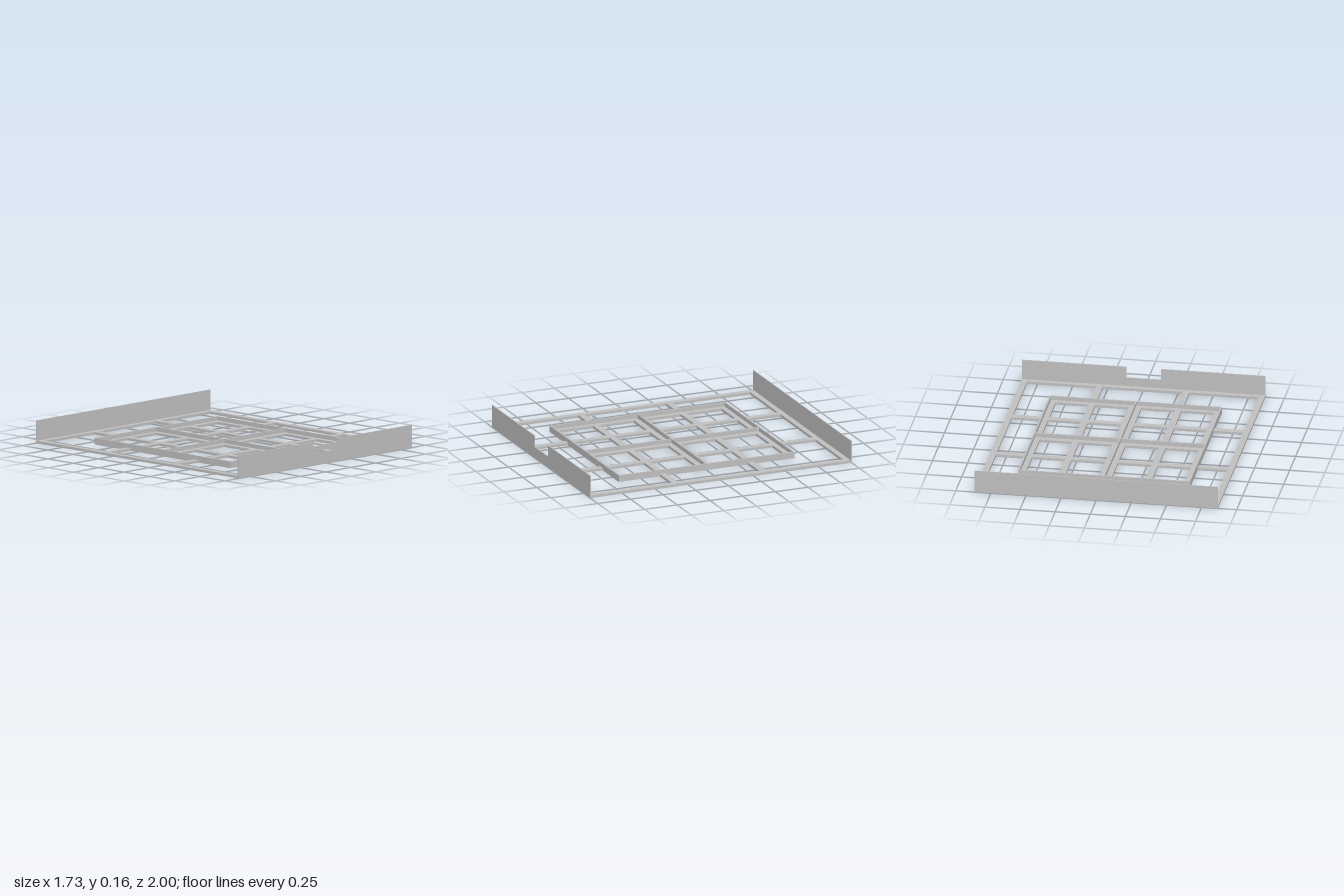
import * as THREE from 'three';

const HX = 0.867, HZ = 1;          // half size of the whole plate
const TX = 0.613, TZ = 0.672;      // half size of the raised tray block
const FLOOR = 0.018, RIM = 0.047, END = 0.163;
const RIM_T = 0.01, END_T = 0.007;

// closed outline from x,y pairs, mirrored by sx and sy
const outline = (points, sx = 1, sy = 1) =>
  points.map(([x, y]) => new THREE.Vector2(x * sx, y * sy));
const rect = (x0, x1, y0, y1) => [[x0, y0], [x1, y0], [x1, y1], [x0, y1]];

export function createModel() {
  const group = new THREE.Group();
  const grey = new THREE.MeshStandardMaterial({ color: 0xc0c0c0 });
  grey.name = 'light grey';

  const add = (name, geometry, x = 0, y = 0, z = 0) => {
    const mesh = new THREE.Mesh(geometry, grey);
    mesh.name = name;
    mesh.position.set(x, y, z);
    group.add(mesh);
    return mesh;
  };

  // flat lattice floor: one plate with every opening cut out
  const plate = new THREE.Shape(outline(rect(-HX, HX, -HZ, HZ)));
  const cut = (points, sx, sy) => plate.holes.push(new THREE.Path(outline(points, sx, sy)));
  const columns = [[0.045, 0.284], [0.331, 0.565]];
  const rows = [[0.047, 0.311], [0.358, 0.624]];
  for (const sx of [-1, 1]) {
    for (const sy of [-1, 1]) {
      for (const [x0, x1] of columns)
        for (const [y0, y1] of rows) cut(rect(x0, x1, y0, y1), sx, sy);
      // L-shaped corner opening around the tray block
      cut([[0.331, TZ], [TX, TZ], [TX, 0.358], [0.823, 0.358], [0.823, 0.953], [0.331, 0.953]], sx, sy);
    }
    cut(rect(TX, 0.823, -0.311, 0.311), sx, 1);
    cut(rect(-0.284, 0.284, TZ, 0.953), 1, sx);
  }
  const floor = add('latticeFloor', new THREE.ExtrudeGeometry(plate, { depth: FLOOR, bevelEnabled: false }));
  floor.rotation.x = -Math.PI / 2;

  // low rims around the trays and the cross divider between them
  const rimH = RIM - FLOOR, rimY = FLOOR + rimH / 2;
  for (const s of [-1, 0, 1]) {
    add(s ? 'traySideRim' : 'trayLongDivider',
      new THREE.BoxGeometry(RIM_T, rimH, 2 * TZ), s * (TX - RIM_T / 2), rimY, 0);
    add(s ? 'trayEndRim' : 'trayCrossDivider',
      new THREE.BoxGeometry(2 * TX - 2 * RIM_T, rimH, RIM_T), 0, rimY, s * (TZ - RIM_T / 2));
  }

  // tall end walls, the front one with a notch in its top edge
  add('backWall', new THREE.BoxGeometry(2 * HX, END, END_T), 0, END / 2, -HZ + END_T / 2);
  const front = new THREE.Shape(outline([
    [-HX, 0], [HX, 0], [HX, END], [0.123, END], [0.123, 0.081],
    [-0.123, 0.081], [-0.123, END], [-HX, END],
  ]));
  add('frontWall', new THREE.ExtrudeGeometry(front, { depth: END_T, bevelEnabled: false }), 0, 0, HZ - END_T);

  return group;
}
